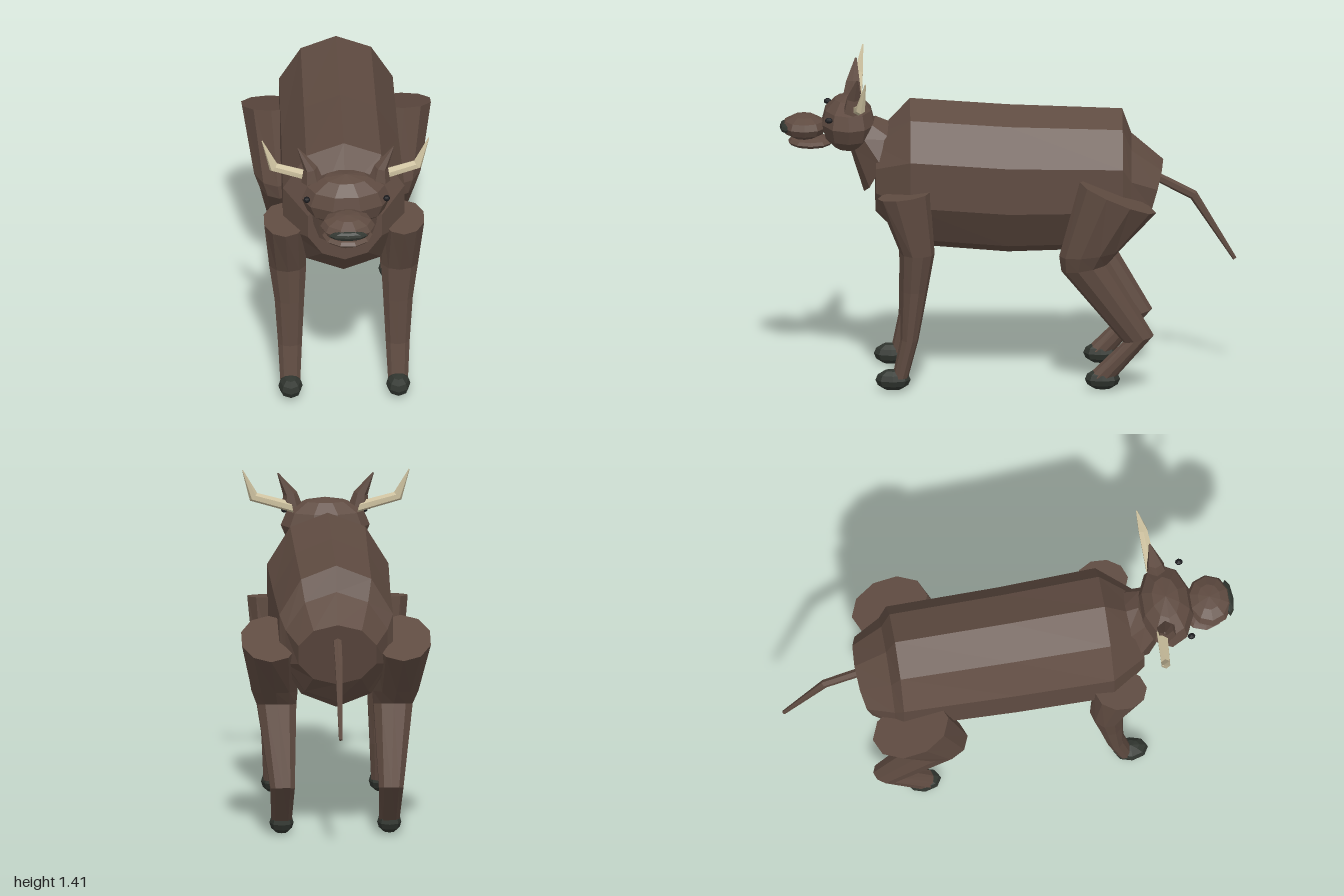
import * as THREE from 'three';

const mat = (name, color) => {
  const m = new THREE.MeshStandardMaterial({ color, flatShading: true });
  m.name = name;
  return m;
};

// Closed solid through elliptical rings. Each ring: [pointA, opposite pointB, half-width vector]
function loft(rings, sides) {
  const rows = rings.map(([a, b, h]) => {
    const A = new THREE.Vector3(...a), B = new THREE.Vector3(...b), H = new THREE.Vector3(...h);
    const c = A.clone().add(B).multiplyScalar(0.5), u = A.clone().sub(c);
    const pts = [];
    for (let i = 0; i < sides; i++) {
      const t = (i / sides) * Math.PI * 2;
      pts.push(c.clone().addScaledVector(u, Math.cos(t)).addScaledVector(H, Math.sin(t)));
    }
    return { c, pts };
  });
  const tris = [];
  const last = rows.length - 1;
  for (let i = 0; i < sides; i++) {
    const j = (i + 1) % sides;
    for (let r = 0; r < last; r++) {
      const p = rows[r].pts, q = rows[r + 1].pts;
      tris.push([p[i], p[j], q[j]], [p[i], q[j], q[i]]);
    }
    tris.push([rows[0].c, rows[0].pts[j], rows[0].pts[i]]);
    tris.push([rows[last].c, rows[last].pts[i], rows[last].pts[j]]);
  }
  // A negative volume means the faces point inward, so reverse them
  const cross = new THREE.Vector3(), o = rows[0].c;
  let volume = 0;
  for (const [a, b, c] of tris) {
    const ea = a.clone().sub(o), eb = b.clone().sub(o), ec = c.clone().sub(o);
    volume += ea.dot(cross.crossVectors(eb, ec));
  }
  const pos = [];
  for (const t of tris) {
    for (const v of volume < 0 ? [t[0], t[2], t[1]] : t) pos.push(v.x, v.y, v.z);
  }
  const g = new THREE.BufferGeometry();
  g.setAttribute('position', new THREE.Float32BufferAttribute(pos, 3));
  g.computeVertexNormals();
  return g;
}

// Ring in a plane holding the x axis: centre x, (y, z) of two opposite points, half-width
const xRing = (x, y1, z1, y2, z2, rx) => [[x, y1, z1], [x, y2, z2], [rx, 0, 0]];

export function createModel() {
  const group = new THREE.Group();
  const hide = mat('brown hide', 0x5f4b41);
  const hoofMat = mat('dark hoof', 0x30352f);
  const hornMat = mat('pale horn', 0xcdc19f);
  const eyeMat = mat('black eye', 0x1b1b1e);

  const add = (name, geometry, material) => {
    const m = new THREE.Mesh(geometry, material);
    m.name = name;
    group.add(m);
    return m;
  };
  const ball = (name, material, [x, y, z], [rx, ry, rz], w = 10, h = 6) => {
    const m = add(name, new THREE.SphereGeometry(1, w, h), material);
    m.position.set(x, y, z);
    m.scale.set(rx, ry, rz);
    return m;
  };

  // Trunk, from chest to rump
  add('body', loft([
    xRing(0, 1.10, 0.58, 0.75, 0.58, 0.17),
    xRing(0, 1.26, 0.43, 0.60, 0.43, 0.28),
    xRing(0, 1.23, 0.00, 0.565, 0.00, 0.27),
    xRing(0, 1.21, -0.50, 0.58, -0.50, 0.262),
    xRing(0, 1.10, -0.54, 0.61, -0.53, 0.235),
    xRing(0, 0.98, -0.68, 0.70, -0.60, 0.18),
  ], 10), hide);

  add('neck', loft([
    xRing(0, 1.14, 0.48, 0.84, 0.63, 0.16),
    xRing(0, 1.18, 0.58, 1.03, 0.69, 0.12),
  ], 8), hide);

  // Head
  ball('head', hide, [0, 1.153, 0.70], [0.195, 0.124, 0.12]);
  ball('muzzle', hide, [0, 1.135, 0.893], [0.12, 0.055, 0.1]);
  ball('lowerJaw', hide, [0, 1.068, 0.865], [0.11, 0.026, 0.1]);
  ball('nose', hoofMat, [0, 1.134, 0.975], [0.085, 0.023, 0.025], 8, 6);

  // Tail
  add('tail', loft([
    xRing(0, 0.93, -0.64, 0.89, -0.63, 0.02),
    xRing(0, 0.835, -0.825, 0.80, -0.80, 0.018),
    xRing(0, 0.535, -1.0, 0.525, -0.985, 0.009),
  ], 6), hide);

  for (const s of [1, -1]) {
    const side = s > 0 ? 'left' : 'right';

    add(side + 'FrontLeg', loft([
      xRing(s * 0.26, 0.87, 0.575, 0.90, 0.345, 0.095),
      xRing(s * 0.245, 0.62, 0.475, 0.62, 0.325, 0.085),
      xRing(s * 0.238, 0.45, 0.472, 0.45, 0.355, 0.068),
      xRing(s * 0.236, 0.23, 0.475, 0.23, 0.395, 0.055),
      xRing(s * 0.236, 0.06, 0.51, 0.06, 0.44, 0.046),
    ], 10), hide);

    add(side + 'RearLeg', loft([
      xRing(s * 0.29, 0.95, -0.31, 0.81, -0.645, 0.13),
      xRing(s * 0.265, 0.61, -0.22, 0.64, -0.49, 0.105),
      xRing(s * 0.255, 0.54, -0.23, 0.58, -0.44, 0.09),
      xRing(s * 0.238, 0.215, -0.50, 0.245, -0.635, 0.056),
      xRing(s * 0.236, 0.07, -0.35, 0.04, -0.455, 0.046),
    ], 10), hide);

    for (const [name, z] of [['FrontHoof', 0.507], ['RearHoof', -0.41]]) {
      ball(side + name, hoofMat, [s * 0.236, 0.048, z], [0.053, 0.048, 0.077], 8, 6);
    }

    // Ears lean outward, with a flat base sunk into the head
    add(side + 'Ear', loft([
      [[s * 0.195, 1.225, 0.68], [s * 0.105, 1.255, 0.68], [0, 0, 0.045]],
      [[s * 0.185, 1.29, 0.677], [s * 0.125, 1.305, 0.677], [0, 0, 0.034]],
      [[s * 0.212, 1.39, 0.663], [s * 0.206, 1.392, 0.663], [0, 0, 0.004]],
    ], 6), hide);

    // Horns run outward, then bend up to a point
    add(side + 'Horn', loft([
      [[s * 0.15, 1.265, 0.66], [s * 0.14, 1.215, 0.66], [0, 0, 0.026]],
      [[s * 0.30, 1.306, 0.65], [s * 0.332, 1.272, 0.65], [0, 0, 0.022]],
      [[s * 0.363, 1.413, 0.63], [s * 0.367, 1.411, 0.63], [0, 0, 0.003]],
    ], 6), hornMat);

    ball(side + 'Eye', eyeMat, [s * 0.175, 1.203, 0.787], [0.015, 0.013, 0.017], 8, 6);
  }
  return group;
}
